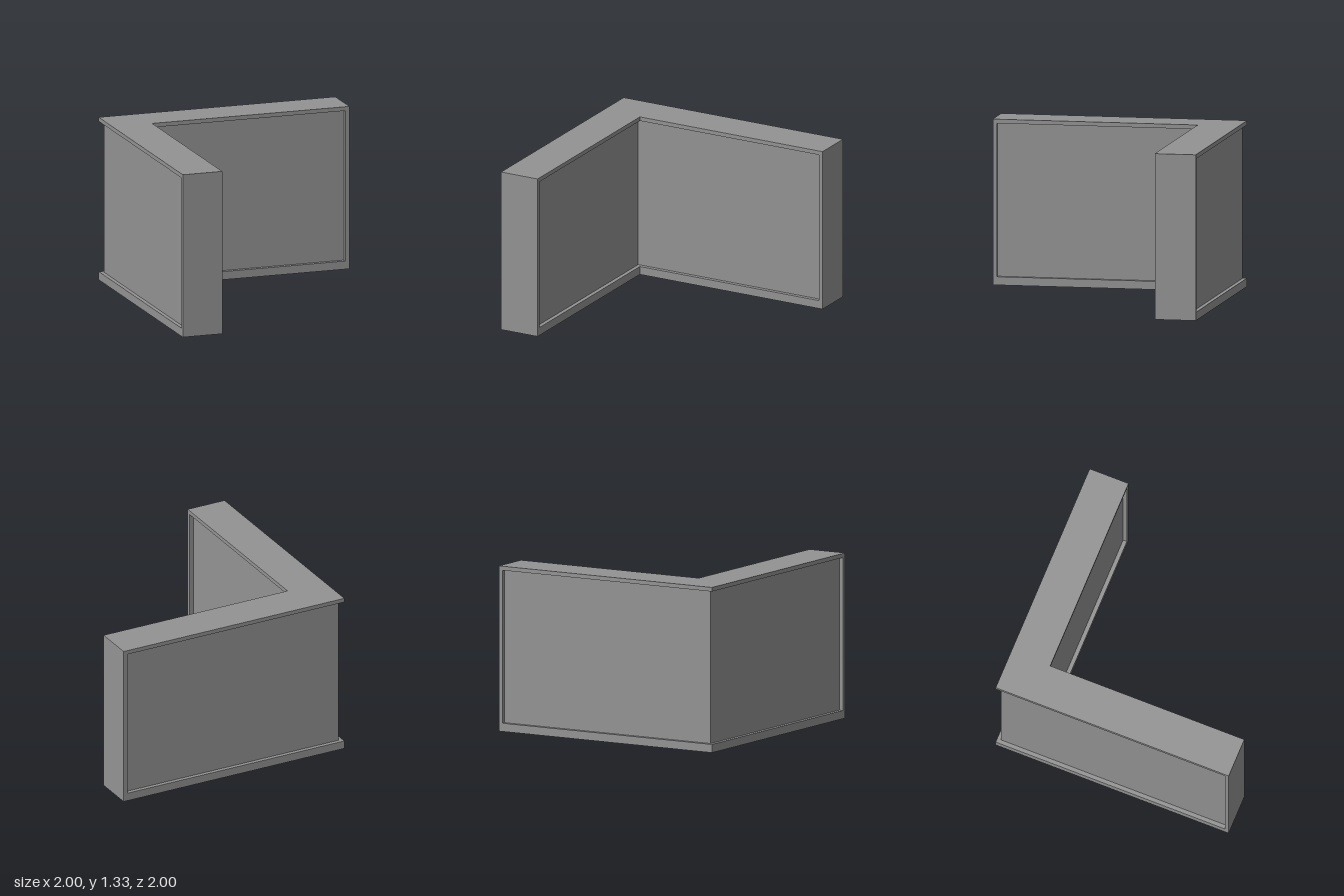
import * as THREE from 'three';

const H = 4 / 3;      // wall height
const T = 1 / 3;      // wall thickness
const D = 1 / 30;     // panel recess, end post and top trim size
const BASE = 1 / 15;  // base trim height

// L-shaped slab between two heights; sides and ends can be inset
function cornerSlab(y0, y1, sideInset, endInset) {
  const outer = -1 + sideInset, inner = -1 + T - sideInset, end = 1 - endInset;
  // shape y becomes -z once the slab is laid flat
  const shape = new THREE.Shape([
    [outer, -end], [inner, -end], [inner, -inner],
    [end, -inner], [end, -outer], [outer, -outer],
  ].map(([x, y]) => new THREE.Vector2(x, y)));
  const geometry = new THREE.ExtrudeGeometry(shape, { depth: y1 - y0, bevelEnabled: false });
  return geometry.rotateX(-Math.PI / 2).translate(0, y0, 0);
}

export function createModel() {
  const group = new THREE.Group();
  group.name = 'cornerWall';
  const grey = new THREE.MeshStandardMaterial({ color: 0x939393 });
  grey.name = 'wallGrey';

  const add = (name, geometry) => {
    const mesh = new THREE.Mesh(geometry, grey);
    mesh.name = name;
    group.add(mesh);
    return mesh;
  };

  // Trims at full thickness, with the recessed wall between them
  add('baseTrim', cornerSlab(0, BASE, 0, 0));
  add('wallPanels', cornerSlab(BASE, H - D, D, D));
  add('topTrim', cornerSlab(H - D, H, 0, 0));

  // Posts closing the free end of each wing
  const postHeight = H - D - BASE;
  const postY = BASE + postHeight / 2;
  add('leftEndPost', new THREE.BoxGeometry(D, postHeight, T))
    .position.set(1 - D / 2, postY, -1 + T / 2);
  add('frontEndPost', new THREE.BoxGeometry(T, postHeight, D))
    .position.set(-1 + T / 2, postY, 1 - D / 2);

  return group;
}
